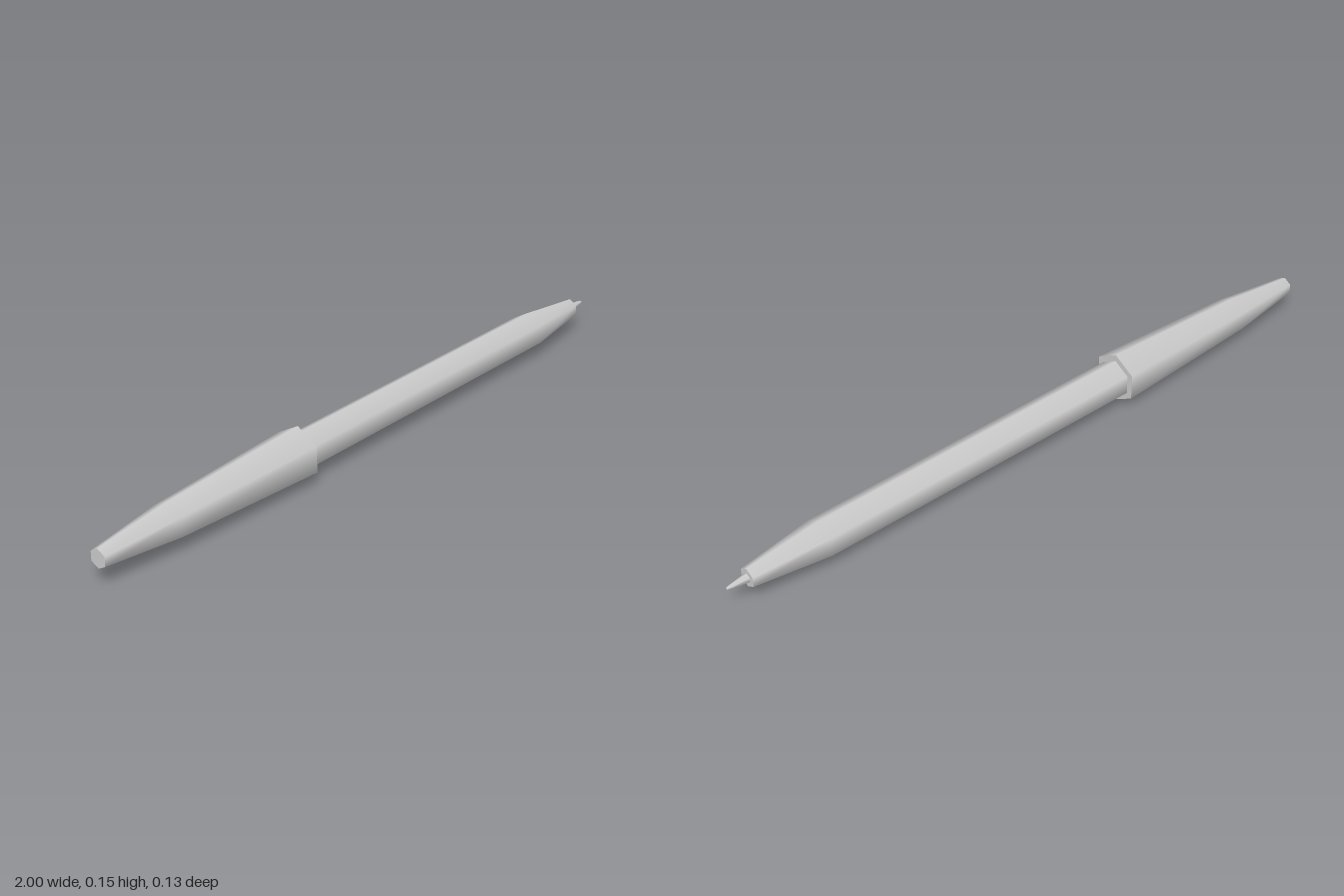
import * as THREE from 'three';
import { mergeGeometries } from 'three/addons/utils/BufferGeometryUtils.js';

const SIDES = 6;
const AXIS_HEIGHT = 0.075;

// Hexagonal turned part along x; each run of [x, radius] points is smooth, with sharp edges between runs
function turned(name, runs, material) {
  const pieces = runs.map((run) =>
    new THREE.LatheGeometry(run.map(([x, r]) => new THREE.Vector2(r, x)), SIDES, Math.PI / 2));
  const geometry = mergeGeometries(pieces);
  geometry.rotateZ(-Math.PI / 2);
  const mesh = new THREE.Mesh(geometry, material);
  mesh.name = name;
  mesh.position.y = AXIS_HEIGHT;
  return mesh;
}

export function createModel() {
  const group = new THREE.Group();
  group.name = 'pen';
  const grey = new THREE.MeshStandardMaterial({ color: 0xcccccc });
  grey.name = 'light grey';

  // Cap: blunt end, two-step flare and flat rim around the barrel
  group.add(turned('cap', [
    [[-1, 0], [-1, 0.027]],
    [[-1, 0.027], [-0.77, 0.054], [-0.3, 0.075]],
    [[-0.3, 0.075], [-0.3, 0.054]],
  ], grey));

  // Barrel: straight body with a tapered front and flat nose
  group.add(turned('barrel', [
    [[-0.3, 0.055], [0.72, 0.055], [0.94, 0.028]],
    [[0.94, 0.028], [0.94, 0.012]],
  ], grey));

  // Writing tip
  group.add(turned('tip', [
    [[0.94, 0.013], [0.985, 0.007], [1, 0.004]],
    [[1, 0.004], [1, 0]],
  ], grey));

  return group;
}
